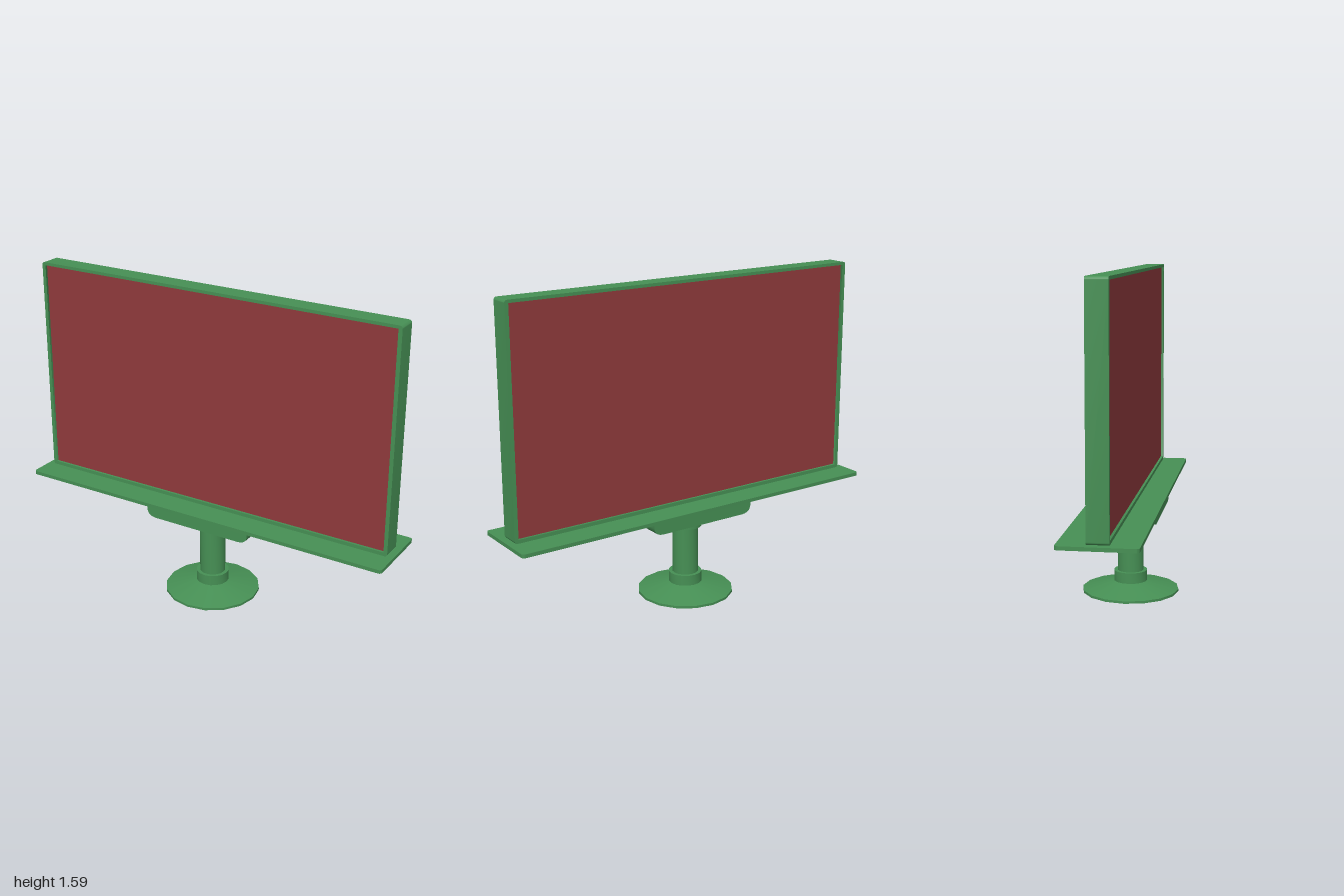
import * as THREE from 'three';
import { toCreasedNormals } from 'three/addons/utils/BufferGeometryUtils.js';

const green = new THREE.MeshStandardMaterial({ color: 0x468f54 });
const greenThin = new THREE.MeshStandardMaterial({ color: 0x468f54, side: THREE.DoubleSide });
const red = new THREE.MeshStandardMaterial({ color: 0x8f3a3c });

function add(group, name, geometry, material = green) {
  const mesh = new THREE.Mesh(geometry, material);
  mesh.name = name;
  group.add(mesh);
  return mesh;
}

// Rectangle centred on (0, cy) with rounded corners
function roundedRect(halfW, halfH, r, cy = 0) {
  const s = new THREE.Shape();
  s.absarc(halfW - r, cy + halfH - r, r, 0, Math.PI / 2);
  s.absarc(-halfW + r, cy + halfH - r, r, Math.PI / 2, Math.PI);
  s.absarc(-halfW + r, cy - halfH + r, r, Math.PI, Math.PI * 1.5);
  s.absarc(halfW - r, cy - halfH + r, r, Math.PI * 1.5, Math.PI * 2);
  s.closePath();
  return s;
}

// Extrusion centred on z = 0, with sharp edges kept
function slab(shape, depth) {
  const g = new THREE.ExtrudeGeometry(shape, { depth, bevelEnabled: false, curveSegments: 5 });
  g.translate(0, 0, -depth / 2);
  return toCreasedNormals(g, 0.6);
}

export function createModel() {
  const model = new THREE.Group();
  model.name = 'displayBoard';

  // Hollow stand: flared foot, lower collar, pole, upper collar
  const profile = [
    [0.24, 0], [0.24, 0.012], [0.083, 0.052], [0.083, 0.105], [0.065, 0.105],
    [0.065, 0.35], [0.083, 0.35], [0.083, 0.402],
  ].map(([r, y]) => new THREE.Vector2(r, y));
  add(model, 'stand', toCreasedNormals(new THREE.LatheGeometry(profile, 16), 0.6), greenThin);

  // Bracket with rounded lower edges
  const b = new THREE.Shape();
  b.moveTo(0.29, 0.468);
  b.lineTo(-0.29, 0.468);
  b.lineTo(-0.29, 0.44);
  b.quadraticCurveTo(-0.286, 0.402, -0.24, 0.4);
  b.lineTo(0.24, 0.4);
  b.quadraticCurveTo(0.286, 0.402, 0.29, 0.44);
  b.closePath();
  add(model, 'bracket', slab(b, 0.315));

  // Wide shelf under the panel
  const shelf = add(model, 'shelf', slab(roundedRect(1, 0.18, 0.016), 0.018));
  shelf.rotation.x = -Math.PI / 2;
  shelf.position.y = 0.474;

  // Panel frame with a recessed screen on both sides
  const frame = roundedRect(0.97, 0.554, 0.014, 1.036);
  frame.holes.push(roundedRect(0.951, 0.537, 0.002, 1.038));
  add(model, 'frame', slab(frame, 0.1));

  const screen = add(model, 'screen', new THREE.BoxGeometry(1.904, 1.076, 0.076), red);
  screen.position.y = 1.038;

  return model;
}
